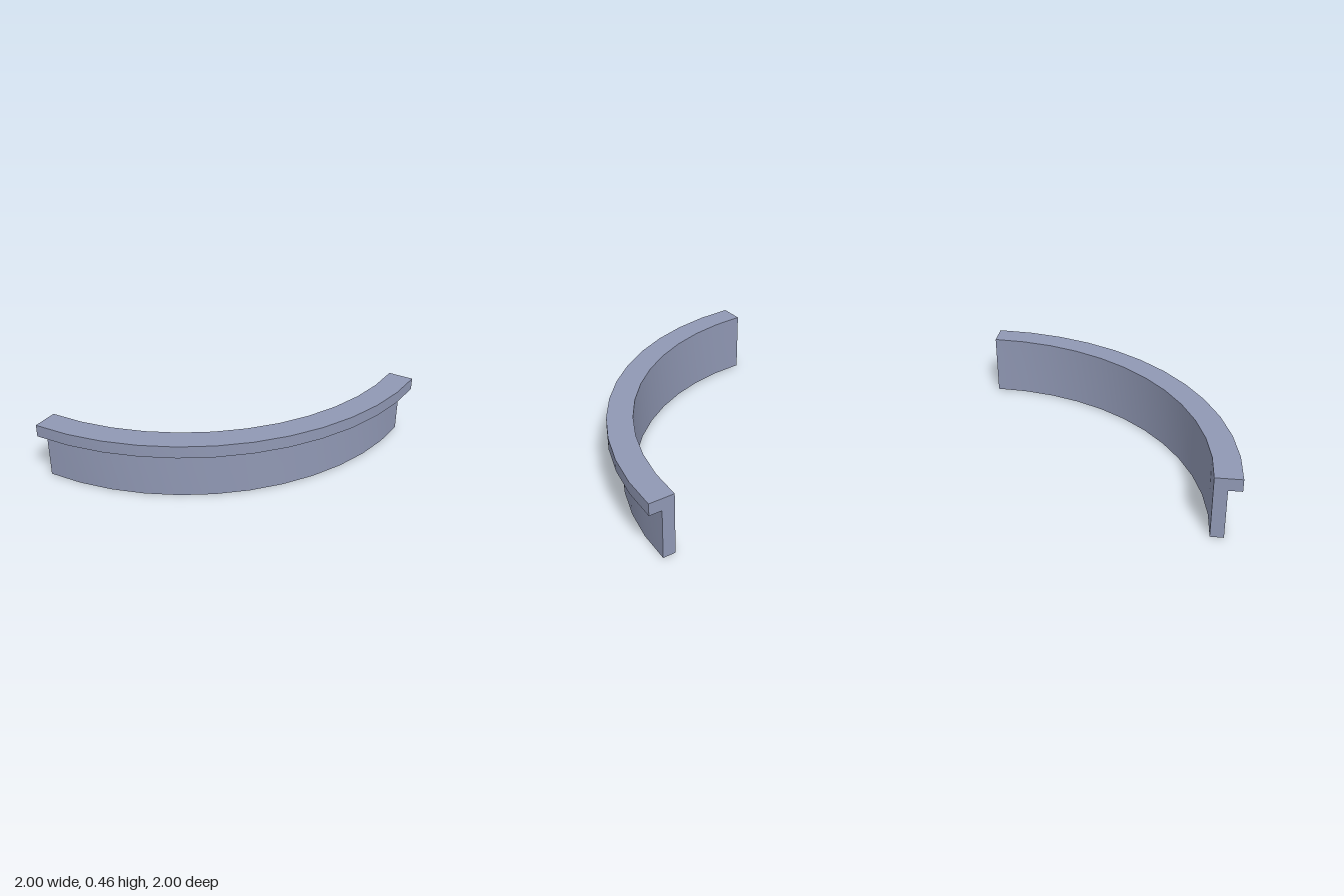
import * as THREE from 'three';
import { toCreasedNormals } from 'three/addons/utils/BufferGeometryUtils.js';

// L-shaped cross-section as (radius, height), counter-clockwise
const INNER = 1.815, WALL = 1.907, OUTER = 2;
const LIP = 0.37, TOP = 0.46;
const PROFILE = [
  [INNER, 0], [WALL, 0], [WALL, LIP], [OUTER, LIP], [OUTER, TOP], [INNER, TOP],
].map(([r, y]) => new THREE.Vector2(r, y));

// Flat end face; side = 1 or -1 mirrors the section so it can face either way
function endCap(side, angle) {
  const shape = new THREE.Shape(PROFILE.map((p) => new THREE.Vector2(p.x * side, p.y)));
  return new THREE.ShapeGeometry(shape).rotateY(angle);
}

export function createModel() {
  const model = new THREE.Group();
  model.name = 'curvedLippedWall';

  const blueGrey = new THREE.MeshStandardMaterial({ color: 0x9098b4 });
  blueGrey.name = 'blueGrey';

  const add = (name, geometry) => {
    const mesh = new THREE.Mesh(geometry, blueGrey);
    mesh.name = name;
    mesh.position.set(-1, 0, -1); // centre of the arc
    model.add(mesh);
  };

  // Quarter ring: wall with an outward lip along its top
  const ring = new THREE.LatheGeometry([...PROFILE, PROFILE[0].clone()], 12, 0, Math.PI / 2);
  add('wallAndLip', toCreasedNormals(ring, Math.PI / 6));

  // Cut ends of the arc
  add('rightEnd', endCap(1, -Math.PI / 2));
  add('backEnd', endCap(-1, Math.PI));

  return model;
}
